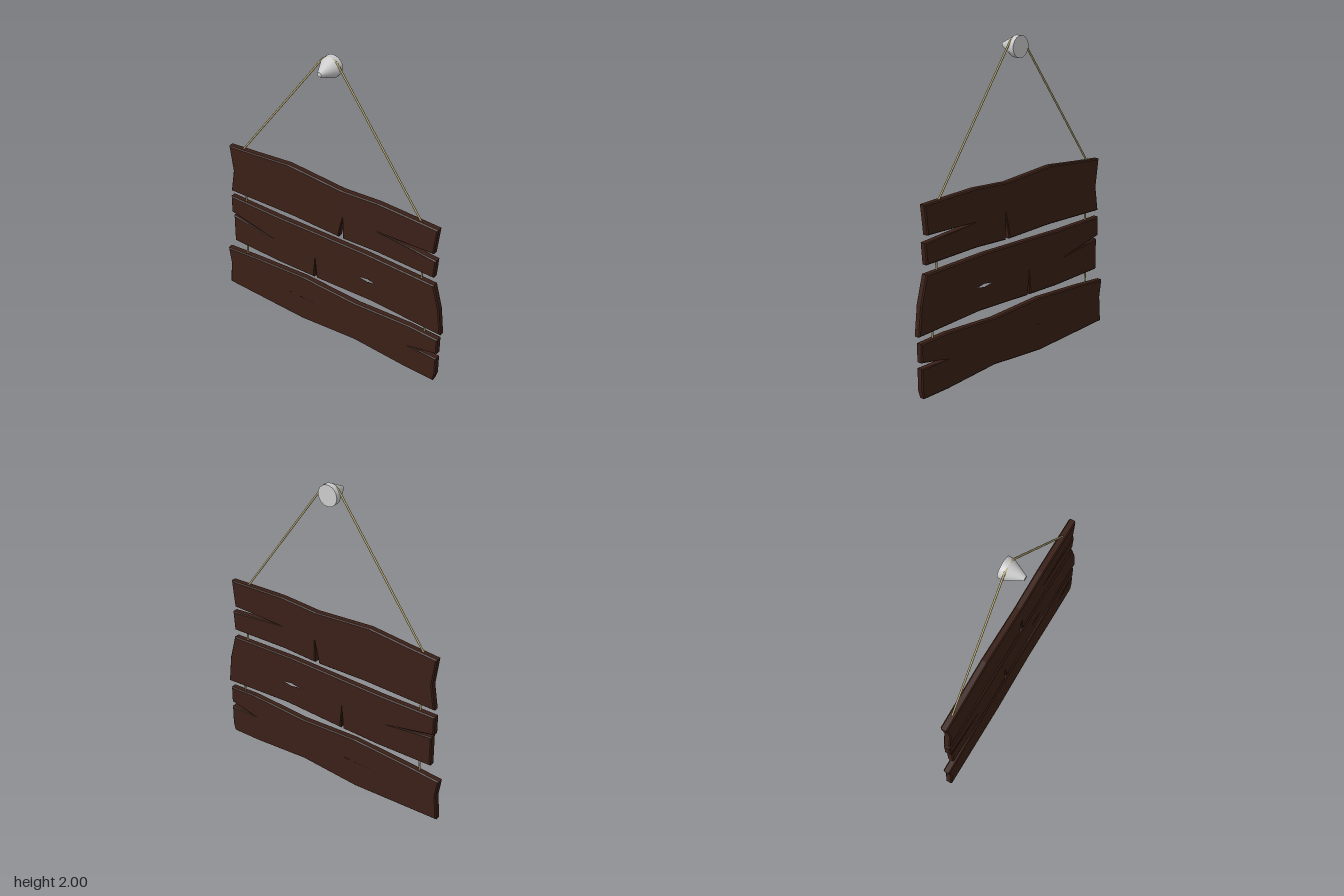
import * as THREE from 'three';

const wood = new THREE.MeshStandardMaterial({ color: 0x3a2017, flatShading: true });
const twine = new THREE.MeshStandardMaterial({ color: 0xb5a670 });
const metal = new THREE.MeshStandardMaterial({ color: 0xcccccc });
const ROPE_Z = -0.033;
const PEG = { x: -0.01, y: 1.935, r: 0.065 };

const toPoints = (list) => list.map(([x, y]) => new THREE.Vector2(x, y));

// Weathered board: a jagged outline with cracks, extruded with a narrow bevel
function plank(name, outline, hole) {
  const shape = new THREE.Shape(toPoints(outline));
  if (hole) shape.holes.push(new THREE.Path(toPoints(hole)));
  const bevel = 0.007, depth = 0.045;
  const geo = new THREE.ExtrudeGeometry(shape, {
    depth: depth - 2 * bevel, bevelSize: bevel, bevelThickness: bevel,
    bevelOffset: -bevel, bevelSegments: 1,
  });
  geo.translate(0, 0, -0.055 + bevel);
  const mesh = new THREE.Mesh(geo, wood);
  mesh.name = name;
  return mesh;
}

// Rope through a list of points, made of straight pieces
function rope(name, points) {
  const path = new THREE.CurvePath();
  const pts = points.map(([x, y]) => new THREE.Vector3(x, y, ROPE_Z));
  for (let i = 1; i < pts.length; i++) path.add(new THREE.LineCurve3(pts[i - 1], pts[i]));
  const mesh = new THREE.Mesh(new THREE.TubeGeometry(path, pts.length > 2 ? 160 : 1, 0.006, 8), twine);
  mesh.name = name;
  return mesh;
}

export function createModel() {
  const group = new THREE.Group();

  // Boards
  group.add(plank('topPlank', [
    [-0.76, 1.14], [-0.57, 1.155], [-0.3, 1.18], [0.09, 1.15], [0.35, 1.165], [0.75, 1.15],
    [0.73, 0.97], [0.35, 0.965], [0.75, 0.93], [0.74, 0.8], [0.34, 0.81], [0.1, 0.8],
    [0.1, 0.965], [0.07, 0.8], [-0.28, 0.81], [-0.76, 0.8], [-0.735, 0.96],
  ]));
  group.add(plank('middlePlank', [
    [-0.765, 0.755], [-0.39, 0.75], [0.27, 0.76], [0.745, 0.745], [0.79, 0.575], [0.81, 0.39],
    [0.32, 0.415], [-0.097, 0.4], [-0.105, 0.565], [-0.114, 0.4], [-0.37, 0.395],
    [-0.75, 0.405], [-0.75, 0.61], [-0.43, 0.565], [-0.765, 0.63],
  ], [[0.21, 0.565], [0.285, 0.583], [0.355, 0.565], [0.285, 0.548]]));
  group.add(plank('bottomPlank', [
    [-0.815, 0.315], [-0.57, 0.335], [-0.2, 0.355], [0.2, 0.335], [0.59, 0.355], [0.795, 0.345],
    [0.795, 0.23], [0.59, 0.193], [0.795, 0.193], [0.795, 0.06], [0.78, 0.005], [0.59, 0.008],
    [0.2, 0.035], [-0.21, 0.005], [-0.81, 0.03], [-0.797, 0.2],
  ], [[-0.35, 0.193], [-0.2, 0.191], [-0.055, 0.193], [-0.2, 0.178]]));

  // Hanging rope, laid over the peg
  const over = [];
  for (let i = 0; i <= 8; i++) {
    const a = THREE.MathUtils.degToRad(144 - i * 13.5);
    over.push([PEG.x + PEG.r * Math.cos(a), PEG.y + (PEG.r - 0.006) * Math.sin(a)]);
  }
  group.add(rope('hangingRope', [[-0.67, 1.13], ...over, [0.64, 1.13]]));

  // Short ropes between the boards
  group.add(rope('upperLeftTie', [[0.65, 0.7], [0.65, 0.85]]));
  group.add(rope('upperRightTie', [[-0.655, 0.7], [-0.655, 0.85]]));
  group.add(rope('lowerLeftTie', [[0.69, 0.3], [0.69, 0.45]]));
  group.add(rope('lowerRightTie', [[-0.665, 0.28], [-0.665, 0.45]]));

  // Wall peg: short cylinder at the back, blunt cone to the front
  const peg = new THREE.Group();
  peg.name = 'peg';
  const base = new THREE.Mesh(new THREE.CylinderGeometry(PEG.r, PEG.r, 0.035, 32), metal);
  base.name = 'pegBase';
  base.position.y = -0.05;
  const cone = new THREE.Mesh(new THREE.CylinderGeometry(0.014, PEG.r, 0.1, 32), metal);
  cone.name = 'pegCone';
  cone.position.y = 0.0175;
  peg.add(base, cone);
  peg.rotation.x = Math.PI / 2;
  peg.position.set(PEG.x, PEG.y, 0);
  group.add(peg);

  return group;
}
